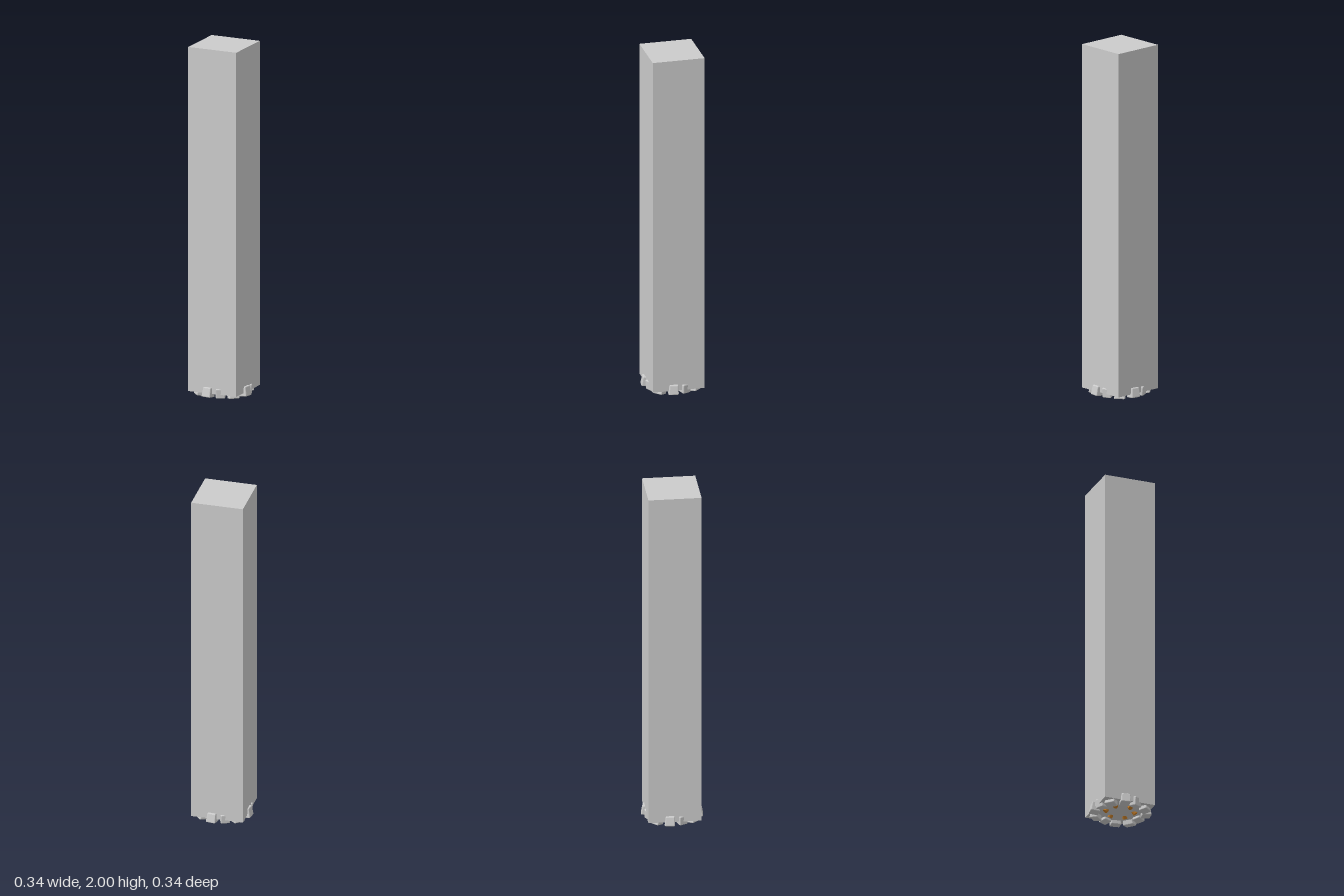
import * as THREE from 'three';
import { RoundedBoxGeometry } from 'three/addons/geometries/RoundedBoxGeometry.js';

const DEG = Math.PI / 180;

// Rough stone: a softened block, narrower at the top and slightly skewed.
function stoneGeometry(w, h, d, skew) {
  const g = new RoundedBoxGeometry(w, h, d, 2, 0.006);
  const p = g.attributes.position;
  for (let i = 0; i < p.count; i++) {
    const t = p.getY(i) / h;
    p.setX(i, p.getX(i) * (1 - 0.15 * t) + skew * t);
    p.setZ(i, p.getZ(i) * (1 - 0.2 * t));
  }
  g.computeVertexNormals();
  return g;
}

export function createModel() {
  const model = new THREE.Group();
  model.name = 'columnOnStoneRing';
  const grey = new THREE.MeshStandardMaterial({ color: 0xcccccc });
  const wood = new THREE.MeshStandardMaterial({ color: 0xc8802a });

  // Tall square column
  const column = new THREE.Mesh(new THREE.BoxGeometry(0.297, 1.97, 0.297), grey);
  column.name = 'column';
  column.position.set(-0.001, 1.015, -0.001);
  model.add(column);

  // Ring of twelve stones: three kinds, repeated every quarter turn
  const kinds = [
    { angle: -11, yaw: 3, r: 0.143, y: 0.037, w: 0.054, h: 0.056, d: 0.05, tilt: -6, skew: 0.003 },
    { angle: 17, yaw: 8, r: 0.134, y: 0.037, w: 0.05, h: 0.054, d: 0.046, tilt: 8, skew: -0.004 },
    { angle: 48, yaw: -6, r: 0.143, y: 0.03, w: 0.058, h: 0.05, d: 0.046, tilt: -10, skew: 0.005 },
  ];
  const ring = new THREE.Group();
  ring.name = 'stoneRing';
  for (const k of kinds) {
    const geo = stoneGeometry(k.w, k.h, k.d, k.skew);
    for (let q = 0; q < 4; q++) {
      const a = (k.angle + q * 90) * DEG;
      const stone = new THREE.Mesh(geo, grey);
      stone.name = 'stone';
      stone.position.set(k.r * Math.sin(a), k.y, k.r * Math.cos(a));
      stone.rotation.set(k.tilt * DEG, a + k.yaw * DEG, 0, 'YXZ');
      ring.add(stone);
    }
  }
  model.add(ring);

  // Six small logs leaning inward, their lower ends showing below the column
  const logs = new THREE.Group();
  logs.name = 'logs';
  const logGeo = new THREE.CylinderGeometry(0.012, 0.014, 0.07, 10);
  for (let i = 0; i < 6; i++) {
    const a = (20 + i * 60) * DEG;
    const log = new THREE.Mesh(logGeo, wood);
    log.name = 'log';
    log.position.set(0.066 * Math.sin(a), 0.05, 0.066 * Math.cos(a));
    log.rotation.set(-35 * DEG, a, 0, 'YXZ');
    logs.add(log);
  }
  model.add(logs);

  return model;
}
